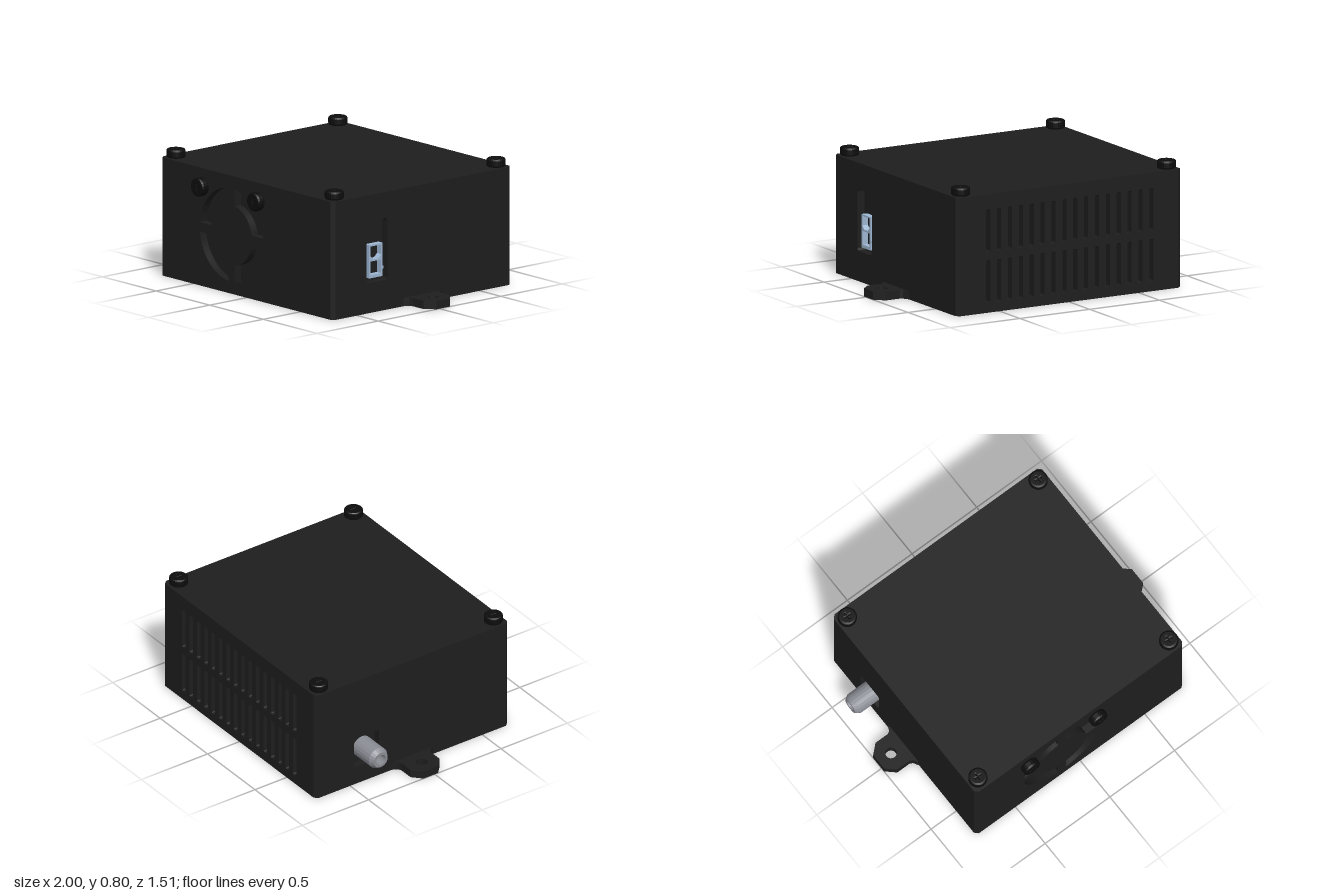
import * as THREE from 'three';

const mat = (color) => new THREE.MeshStandardMaterial({ color });
const BLACK = mat(0x1e1e1e), SCREW = mat(0x0d0d0d), METAL = mat(0x8c8e96), BLUE = mat(0x9fb8d4);
const HX = 0.805, ZB = -0.76, ZF = 0.7, H = 0.745, T = 0.05, C = 0.022;

function mesh(name, geo, material, parent) {
  const m = new THREE.Mesh(geo, material);
  m.name = name;
  parent.add(m);
  return m;
}

const poly = (pts) => new THREE.Shape(pts.map(([x, y]) => new THREE.Vector2(x, y)));

function extrude(shape, depth, curveSegments = 16) {
  return new THREE.ExtrudeGeometry(shape, { depth, bevelEnabled: false, curveSegments });
}

// Rounded rectangle path from its corners
function roundRect(x0, y0, x1, y1, r) {
  const p = new THREE.Path();
  p.absarc(x1 - r, y1 - r, r, 0, Math.PI / 2);
  p.absarc(x0 + r, y1 - r, r, Math.PI / 2, Math.PI);
  p.absarc(x0 + r, y0 + r, r, Math.PI, Math.PI * 1.5);
  p.absarc(x1 - r, y0 + r, r, Math.PI * 1.5, Math.PI * 2);
  p.closePath();
  return p;
}

// Side panel from x0 to x1 with cut-outs, outer face towards local +z
function panel(name, x0, x1, holes, parent) {
  const s = poly([[x0, 0], [x1, 0], [x1, H], [x0, H]]);
  s.holes.push(...holes);
  return mesh(name, extrude(s, T, 8), BLACK, parent);
}

// Quarter-ring fan openings separated by a cross of straight ribs
function fanHoles(cx, cy, R, r, gap) {
  const a = Math.asin(gap / R), b = Math.asin(gap / r), q = Math.PI / 2;
  return [0, 1, 2, 3].map((i) => {
    const p = new THREE.Path();
    p.absarc(cx, cy, R, i * q + a, (i + 1) * q - a, false);
    p.absarc(cx, cy, r, (i + 1) * q - b, i * q + b, true);
    p.closePath();
    return p;
  });
}

// Screw head with a cross recess, pointing along +z
function screw(parent, name) {
  const g = new THREE.Group();
  g.name = name;
  const head = new THREE.Shape().absarc(0, 0, 0.047, 0, Math.PI * 2);
  const l = 0.028, w = 0.008;
  head.holes.push(poly([[l, -w], [l, w], [w, w], [w, l], [-w, l], [-w, w],
    [-l, w], [-l, -w], [-w, -w], [-w, -l], [w, -l], [w, -w]]));
  const geo = new THREE.ExtrudeGeometry(head, {
    depth: 0.03, bevelThickness: 0.012, bevelSize: 0.012, bevelSegments: 3, curveSegments: 12,
  });
  mesh('screwHead', geo, SCREW, g).position.z = 0.012;
  mesh('screwRecessFloor', new THREE.CylinderGeometry(0.04, 0.04, 0.02, 20).rotateX(Math.PI / 2), SCREW, g).position.z = 0.015;
  parent.add(g);
  return g;
}

export function createModel() {
  const root = new THREE.Group();
  root.name = 'enclosure';

  // Core block: chamfered corner posts, sides set back behind the panels
  const core = [];
  const zm = (ZB + ZF) / 2, hz = (ZF - ZB) / 2;
  for (const [sx, sz, flip] of [[1, 1, 0], [-1, 1, 1], [-1, -1, 0], [1, -1, 1]]) {
    const c = [[HX - T, hz - C * 2], [HX, hz - C * 2], [HX, hz - C], [HX - C, hz],
      [HX - C * 2, hz], [HX - C * 2, hz - T]];
    c[0][0] = HX - T;
    // Drop the crossing inner points to where the set-back faces begin
    const post = [[HX - T, hz - T - 0.01], [HX, hz - T - 0.01], [HX, hz - C], [HX - C, hz],
      [HX - T - 0.01, hz], [HX - T - 0.01, hz - T]];
    if (flip) post.reverse();
    core.push(...post.map(([x, z]) => [sx * x, sz * z - zm]));
  }
  mesh('coreBlock', extrude(poly(core), H).rotateX(-Math.PI / 2), BLACK, root);

  // Front panel with fan grille
  const px = HX - T - 0.01;
  panel('frontPanel', -px, px, fanHoles(-0.14, 0.37, 0.295, 0.19, 0.03), root).position.z = ZF - T;

  // Back panel with two rows of vent slots
  const slots = [];
  for (const y of [0.06, 0.38]) {
    for (let i = 0; i < 16; i++) {
      const x = -0.585 + i * 0.078;
      slots.push(roundRect(x - 0.018, y, x + 0.018, y + 0.27, 0.012));
    }
  }
  const back = panel('backPanel', -px, px, slots, root);
  back.rotation.y = Math.PI;
  back.position.z = ZB + T;

  // Side panels with their connector recesses
  const zf = ZF - T - 0.01, zb = ZB + T + 0.01;
  const right = panel('powerSidePanel', -zf, -zb, [roundRect(-0.425, 0.19, -0.255, 0.58, 0.02)], root);
  right.rotation.y = Math.PI / 2;
  right.position.x = HX - T;
  const left = panel('coaxSidePanel', zb, zf, [roundRect(-0.47, 0.12, -0.28, 0.33, 0.02)], root);
  left.rotation.y = -Math.PI / 2;
  left.position.x = -HX + T;

  // Power socket: pale frame with two openings, one with cut corners
  const frame = poly([[-0.395, 0.215], [-0.285, 0.215], [-0.285, 0.425], [-0.395, 0.425]]);
  frame.holes.push(
    poly([[-0.384, 0.235], [-0.296, 0.235], [-0.296, 0.32], [-0.384, 0.32]]),
    poly([[-0.36, 0.332], [-0.32, 0.332], [-0.296, 0.355], [-0.296, 0.415], [-0.384, 0.415], [-0.384, 0.355]]),
  );
  const socket = mesh('powerSocketFrame', extrude(frame, 0.04), BLUE, root);
  socket.rotation.y = Math.PI / 2;
  socket.position.x = HX - T;
  mesh('socketLatch', new THREE.BoxGeometry(0.02, 0.016, 0.01), BLUE, root).position.set(HX - 0.02, 0.27, 0.281);

  // Coaxial connector with chamfered tip and centre bore
  const coaxProfile = [[0.07, 0], [0.07, 0.17], [0.052, 0.2], [0.035, 0.2], [0.035, 0.14], [0, 0.14]]
    .map(([x, y]) => new THREE.Vector2(x, y));
  const coaxGeo = new THREE.LatheGeometry(coaxProfile, 20).toNonIndexed();
  coaxGeo.computeVertexNormals();
  const coax = mesh('coaxConnector', coaxGeo, METAL, root);
  coax.rotation.z = Math.PI / 2;
  coax.position.set(-HX + T, 0.22, -0.375);

  // Mounting ears with bolt holes
  for (const s of [1, -1]) {
    const half = [[0.79, 0.165], [0.805, 0.155], [0.825, 0.12], [0.845, 0.11], [0.94, 0.11], [1, 0.055]];
    const pts = [...half.map(([x, z]) => [x, -z]), ...half.reverse()];
    const ear = poly(pts.map(([x, z]) => [s * x, z]));
    ear.holes.push(new THREE.Path().absarc(s * 0.905, 0, 0.035, 0, Math.PI * 2));
    const m = mesh(s > 0 ? 'leftMountingEar' : 'rightMountingEar', extrude(ear, 0.052), BLACK, root);
    m.rotation.x = -Math.PI / 2;
    m.position.z = -0.03;
  }

  // Lid screws and fan screws
  for (const x of [-0.738, 0.738]) {
    for (const z of [-0.69, 0.63]) {
      const g = screw(root, 'lidScrew');
      g.rotation.x = -Math.PI / 2;
      g.position.set(x, H, z);
    }
  }
  for (const x of [-0.405, 0.118]) screw(root, 'fanScrew').position.set(x, 0.632, ZF);

  return root;
}
